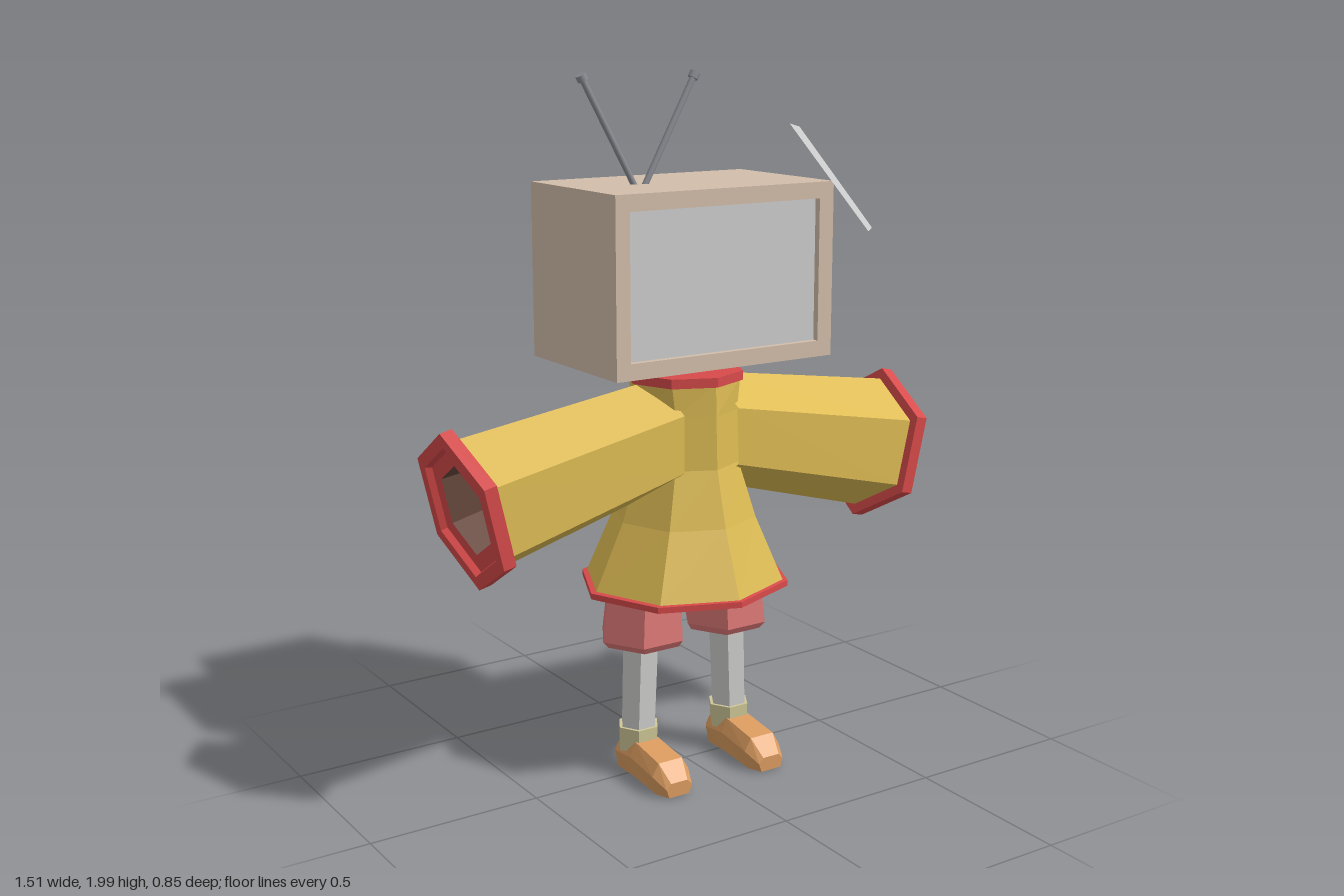
import * as THREE from 'three';

const mat = (name, color, side = THREE.FrontSide) => {
  const m = new THREE.MeshStandardMaterial({ color, side });
  m.name = name;
  return m;
};
const V = (x, y, z) => new THREE.Vector3(x, y, z);

// Flat-shaded skin over rings of points; rings run counter-clockwise about their direction of travel.
function loft(rings, capStart = false, capEnd = false) {
  const p = [];
  const tri = (...pts) => pts.forEach((q) => p.push(q.x, q.y, q.z));
  const n = rings[0].length;
  for (let i = 0; i < rings.length - 1; i++) {
    for (let j = 0; j < n; j++) {
      const k = (j + 1) % n, r = rings[i], s = rings[i + 1];
      tri(r[j], r[k], s[k]);
      tri(r[j], s[k], s[j]);
    }
  }
  const last = rings[rings.length - 1];
  for (let j = 1; j < n - 1; j++) {
    if (capStart) tri(rings[0][0], rings[0][j + 1], rings[0][j]);
    if (capEnd) tri(last[0], last[j], last[j + 1]);
  }
  const g = new THREE.BufferGeometry();
  g.setAttribute('position', new THREE.Float32BufferAttribute(p, 3));
  g.computeVertexNormals();
  return g;
}

// Regular polygon spanned by two axes
function ngon(n, centre, u, v, r, start = 0) {
  return Array.from({ length: n }, (_, i) => {
    const t = start + (i / n) * Math.PI * 2;
    return centre.clone().addScaledVector(u, r * Math.cos(t)).addScaledVector(v, r * Math.sin(t));
  });
}

// Horizontal polygon with a corner at the side (6) or at the front (8)
const level = (n, x, y, z, rx, rz = rx) =>
  ngon(n, V(x, y, z), V(0, 0, rz), V(rx, 0, 0), 1, n === 6 ? Math.PI / 2 : 0);

export function createModel() {
  const casing = mat('casing beige', 0xd2bdaa);
  const glass = mat('screen grey', 0xcccccc, THREE.DoubleSide);
  const metal = mat('antenna metal', 0x8c8e94);
  const yellow = mat('coat yellow', 0xdebc54, THREE.DoubleSide);
  const red = mat('trim red', 0xd84a4a);
  const pink = mat('shorts pink', 0xdc7876);
  const pale = mat('leg grey', 0xcdcdcb);
  const sockMat = mat('sock cream', 0xd0c898);
  const shoeMat = mat('shoe tan', 0xdb9c60);
  const lining = mat('sleeve lining brown', 0x6a4a3e);

  const model = new THREE.Group();
  model.name = 'televisionHeadFigure';
  const add = (name, geo, material, parent = model) => {
    const m = new THREE.Mesh(geo, material);
    m.name = name;
    parent.add(m);
    return m;
  };
  const box = (name, x0, x1, y0, y1, z0, z1, material, parent) => {
    const m = add(name, new THREE.BoxGeometry(x1 - x0, y1 - y0, z1 - z0), material, parent);
    m.position.set((x0 + x1) / 2, (y0 + y1) / 2, (z0 + z1) / 2);
    return m;
  };

  // Television head
  const head = new THREE.Group();
  head.name = 'head';
  model.add(head);
  box('casing', -0.35, 0.35, 1.215, 1.7, -0.235, 0.185, casing, head);
  box('backHousing', -0.202, 0.202, 1.27, 1.65, -0.425, -0.235, casing, head);
  const face = new THREE.Shape([[-0.35, 1.215], [0.35, 1.215], [0.35, 1.7], [-0.35, 1.7]]
    .map(([x, y]) => new THREE.Vector2(x, y)));
  face.holes.push(new THREE.Path([[-0.307, 1.26], [-0.307, 1.655], [0.303, 1.655], [0.303, 1.26]]
    .map(([x, y]) => new THREE.Vector2(x, y))));
  add('screenFrame', new THREE.ExtrudeGeometry(face, { depth: 0.025, bevelEnabled: false }), casing, head)
    .position.z = 0.185;
  box('screen', -0.307, 0.303, 1.26, 1.655, 0.185, 0.191, glass, head);

  // Antennas with thicker tips
  const rod = (name, a, b, r) => {
    const m = add(name, new THREE.CylinderGeometry(r, r, a.distanceTo(b), 8), metal, head);
    m.position.copy(a).lerp(b, 0.5);
    m.quaternion.setFromUnitVectors(V(0, 1, 0), b.clone().sub(a).normalize());
  };
  for (const [side, x0, x1] of [['right', -0.15, -0.323], ['left', -0.135, 0.037]]) {
    const a = V(x0, 1.68, -0.006), b = V(x1, 1.992, -0.006);
    rod(side + 'Antenna', a, b, 0.009);
    rod(side + 'AntennaTip', a.clone().lerp(b, 0.95), b, 0.015);
  }

  // Loose pane floating by the head
  const pane = new THREE.BufferGeometry();
  pane.setAttribute('position', new THREE.Float32BufferAttribute(
    [0.153, 1.865, 0.268, 0.3, 1.587, 0.424, 0.53, 1.555, 0.16, 0.386, 1.835, 0.003], 3));
  pane.setIndex([0, 1, 2, 0, 2, 3]);
  pane.computeVertexNormals();
  add('floatingPane', pane, glass);

  // Coat, hem, collar and neck
  const zc = -0.006;
  add('coat', loft([[0.57, 0.295, 0.28], [0.76, 0.205, 0.21], [0.92, 0.15, 0.168], [1.07, 0.145, 0.162], [1.16, 0.16, 0.16]]
    .map(([y, rx, rz]) => level(8, 0, y, zc, rx, rz))), yellow);
  add('hem', loft([[0.572, 0.27], [0.555, 0.27], [0.555, 0.305], [0.572, 0.305], [0.575, 0.28]]
    .map(([y, r]) => level(8, 0, y, zc, r + 0.005, r - 0.015))), red);
  add('collar', loft([level(8, 0, 1.153, zc, 0.168), level(8, 0, 1.18, zc, 0.168)], true, true), red);
  add('neck', loft([level(8, 0, 1.16, zc, 0.06), level(8, 0, 1.22, zc, 0.06)]), yellow);

  // Sleeves: flared hexagonal tubes ending in drooping cuffs
  const axis = V(0.975, -0.222, 0), up = V(0.222, 0.975, 0), across = V(0, 0, 1);
  const cuffRing = (d, r) => ngon(6, V(0.706, 0.868, 0).addScaledVector(axis, d), up, across, r);
  for (const side of ['left', 'right']) {
    const arm = new THREE.Group();
    arm.name = side + 'Arm';
    arm.position.z = zc;
    if (side === 'right') arm.rotation.y = Math.PI;
    model.add(arm);
    const shoulder = ngon(6, V(0.09, 0.998, 0), V(0, 1, 0), across, 0.162);
    add('sleeve', loft([shoulder, cuffRing(-0.035, 0.196)]), yellow, arm);
    add('cuff', loft([cuffRing(-0.037, 0.19), cuffRing(-0.037, 0.228), cuffRing(0, 0.228),
      cuffRing(0, 0.188), cuffRing(-0.018, 0.18), cuffRing(-0.018, 0.13)]), red, arm);
    add('sleeveLining', loft([cuffRing(-0.018, 0.13), cuffRing(-0.25, 0.11)], false, true), lining, arm);
  }

  // Shoe cross-section at depth z: half width w, sole y0, top y1
  const shoeRing = ([z, w, y0, y1]) => {
    const ym = y0 + (y1 - y0) * 0.6;
    return (x) => [[-0.8, y0], [0.8, y0], [1, ym], [0.65, y1], [-0.65, y1], [-1, ym]]
      .map(([k, y]) => V(x + k * w, y, z));
  };
  const shoeRings = [[-0.073, 0.036, 0.022, 0.08], [-0.045, 0.055, 0.012, 0.1], [0.04, 0.057, 0.014, 0.115],
    [0.165, 0.06, 0.006, 0.097], [0.212, 0.042, 0.008, 0.05]].map(shoeRing);

  // Shorts, legs, socks and shoes
  for (const [side, s] of [['left', 1], ['right', -1]]) {
    const leg = new THREE.Group();
    leg.name = side + 'Leg';
    model.add(leg);
    add('shorts', loft([[0.4, 0.14, 0.115], [0.42, 0.143, 0.13], [0.56, 0.137, 0.118], [0.74, 0.1, 0.095]]
      .map(([y, x, r]) => level(6, s * x, y, zc, r)), true, true), pink, leg);
    add('shin', loft([level(6, s * 0.16, 0.1, zc, 0.053), level(6, s * 0.147, 0.45, zc, 0.057)]), pale, leg);
    add('sock', loft([level(6, s * 0.16, 0.08, zc, 0.06), level(6, s * 0.158, 0.15, zc, 0.063)], true, true), sockMat, leg);
    add('shoe', loft(shoeRings.map((ring) => ring(s * 0.159)), true, true), shoeMat, leg);
  }
  return model;
}
